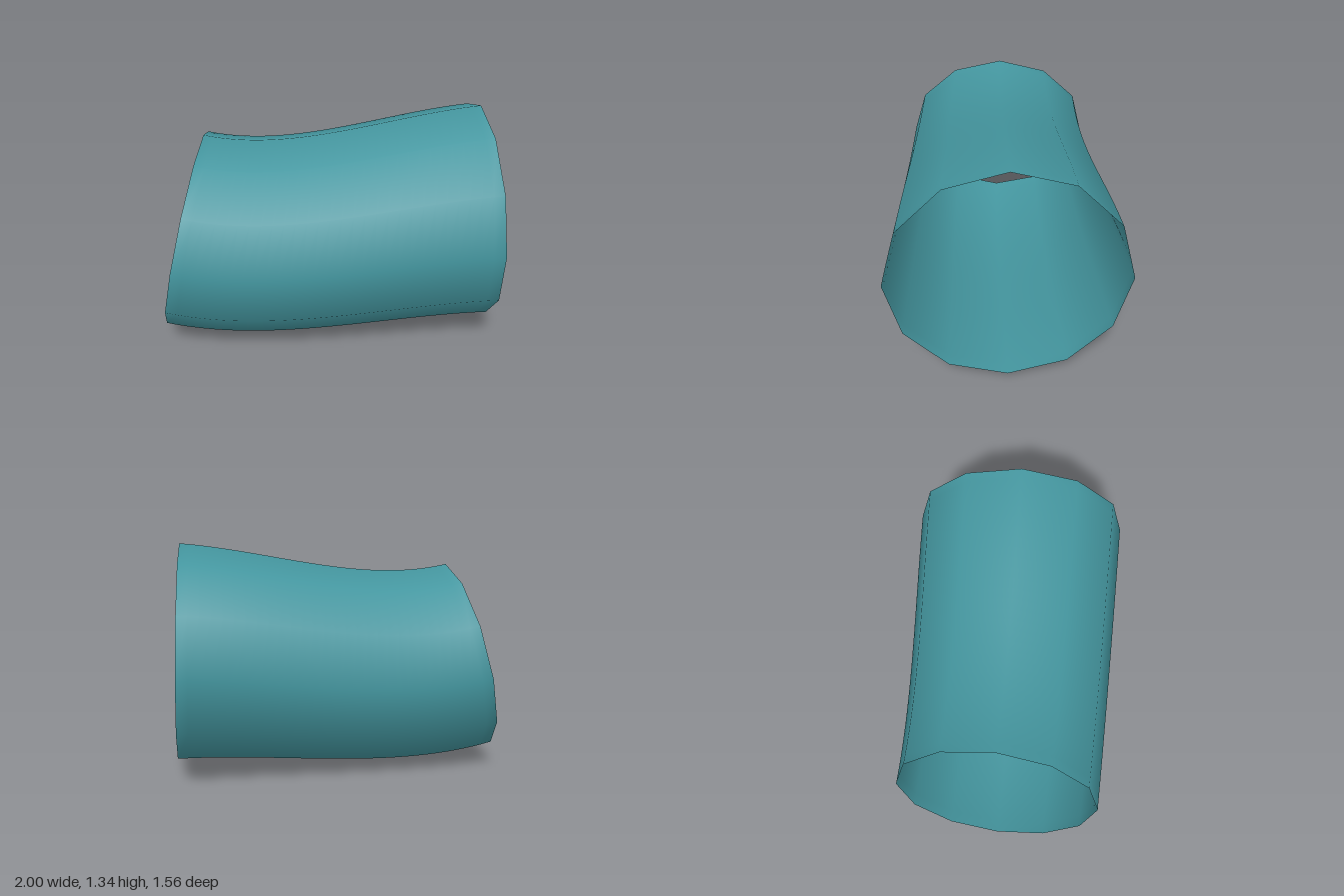
import * as THREE from 'three';

const SIDES = 12;
const STEPS = 28;

// End rims: centre plus two radius vectors (towards the back and the top)
const v = (x, y, z) => new THREE.Vector3(x, y, z);
const rightRim = { c: v(-0.84, 0.655, 0.21), a: v(-0.10, -0.005, -0.57), b: v(0.13, 0.565, -0.04) };
const leftRim = { c: v(0.86, 0.733, -0.16), a: v(-0.14, 0, -0.62), b: v(-0.03, 0.632, 0) };

// Open sleeve swept along a gentle curve that leaves each rim at a right angle
function sleeveGeometry(r0, r1) {
  const reach = r0.c.distanceTo(r1.c) / 3;
  const axis = (r) => r.a.clone().cross(r.b).setLength(reach);
  const path = new THREE.CubicBezierCurve3(r0.c, r0.c.clone().add(axis(r0)), r1.c.clone().sub(axis(r1)), r1.c);
  const positions = [];
  const indices = [];
  for (let i = 0; i <= STEPS; i++) {
    const t = i / STEPS;
    const a = r0.a.clone().lerp(r1.a, t);
    const b = r0.b.clone().lerp(r1.b, t);
    for (let j = 0; j < SIDES; j++) {
      const angle = (j / SIDES) * Math.PI * 2;
      const p = path.getPoint(t).addScaledVector(a, Math.cos(angle)).addScaledVector(b, Math.sin(angle));
      positions.push(p.x, p.y, p.z);
      if (i === STEPS) continue;
      const p0 = i * SIDES + j;
      const p1 = i * SIDES + ((j + 1) % SIDES);
      indices.push(p0, p1, p0 + SIDES, p1, p1 + SIDES, p0 + SIDES);
    }
  }
  const geometry = new THREE.BufferGeometry();
  geometry.setAttribute('position', new THREE.Float32BufferAttribute(positions, 3));
  geometry.setIndex(indices);
  geometry.computeVertexNormals();
  return geometry;
}

export function createModel() {
  const group = new THREE.Group();
  group.name = 'bentSleeve';
  const teal = new THREE.MeshStandardMaterial({ color: 0x44969f, side: THREE.DoubleSide });
  teal.name = 'teal';
  const sleeve = new THREE.Mesh(sleeveGeometry(rightRim, leftRim), teal);
  sleeve.name = 'sleeve';
  group.add(sleeve);
  return group;
}
